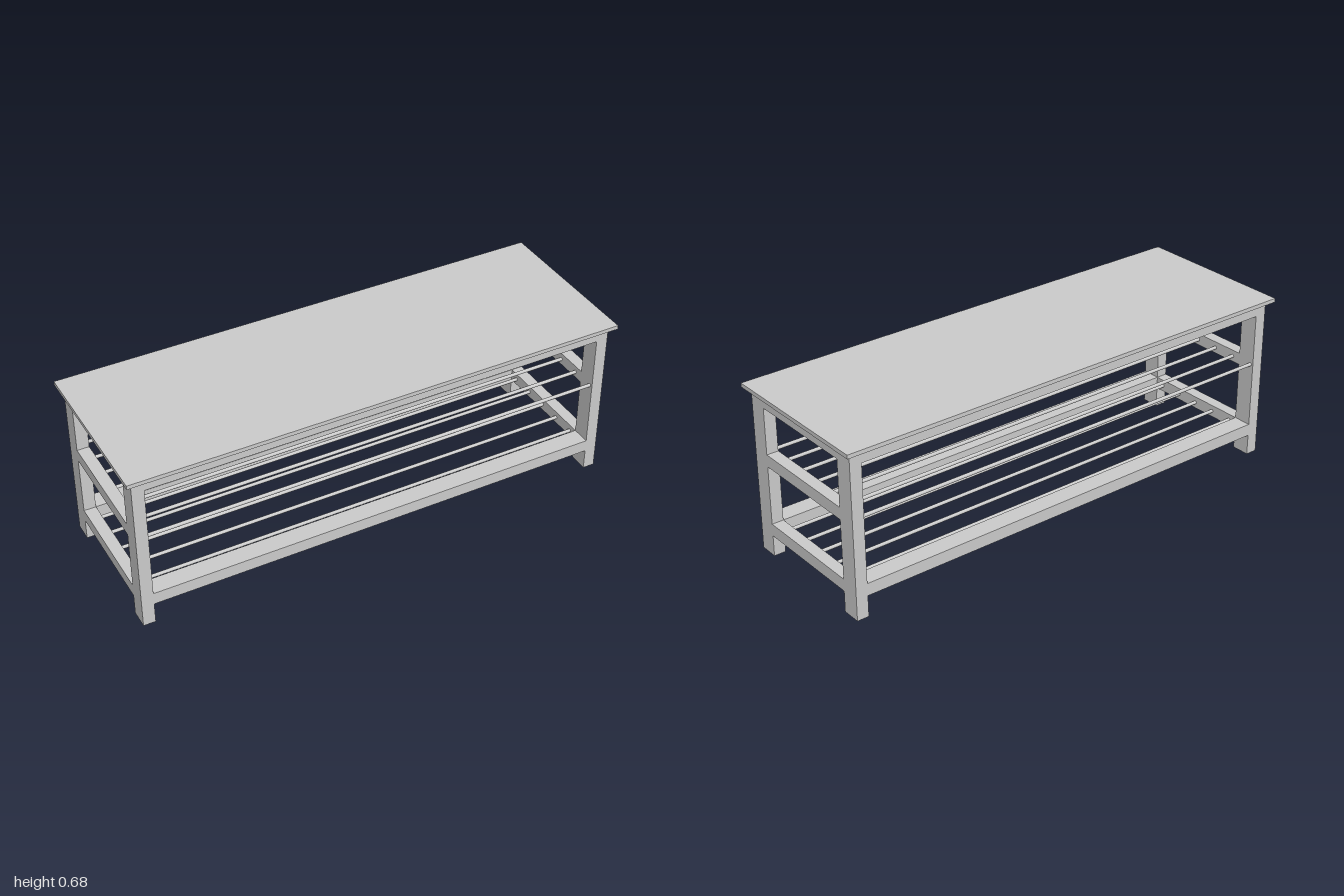
import * as THREE from 'three';

export function createModel() {
  const bench = new THREE.Group();
  bench.name = 'shoeBench';
  const material = new THREE.MeshStandardMaterial({ color: 0xcccccc });

  // Box given by its centre x and z, its width and depth, and its bottom and top heights
  const addBox = (name, x, z, width, depth, bottom, top) => {
    const mesh = new THREE.Mesh(new THREE.BoxGeometry(width, top - bottom, depth), material);
    mesh.name = name;
    mesh.position.set(x, (bottom + top) / 2, z);
    bench.add(mesh);
  };

  const legX = 0.952, legZ = 0.271, legW = 0.048, legD = 0.076;
  const spanX = 2 * legX - legW, spanZ = 2 * legZ - legD;

  // Seat
  addBox('seatTop', 0, 0, 2, 0.672, 0.664, 0.68);

  // Legs
  for (const sx of [-1, 1]) for (const sz of [-1, 1])
    addBox('leg', sx * legX, sz * legZ, legW, legD, 0, 0.664);

  // Long rails, front and back
  for (const sz of [-1, 1]) {
    addBox('longApron', 0, sz * legZ, spanX, legD, 0.613, 0.663);
    addBox('longLowerRail', 0, sz * legZ, spanX, legD, 0.086, 0.136);
  }

  // Short rails at both ends
  for (const sx of [-1, 1]) {
    addBox('endApron', sx * legX, 0, legW, spanZ, 0.613, 0.662);
    addBox('endMiddleRail', sx * legX, 0, legW, spanZ, 0.376, 0.425);
    addBox('endLowerRail', sx * legX, 0, legW, spanZ, 0.086, 0.136);
  }

  // Round rods forming the two shelves
  const rodGeometry = new THREE.CylinderGeometry(0.007, 0.007, spanX, 16).rotateZ(Math.PI / 2);
  const addRod = (name, y, z) => {
    const rod = new THREE.Mesh(rodGeometry, material);
    rod.name = name;
    rod.position.set(0, y, z);
    bench.add(rod);
  };
  for (let i = -3; i <= 3; i++) {
    const z = i * 0.098;
    addRod('upperShelfRod', 0.4, z);
    // The outer places of the lower shelf are taken by the long rails
    if (Math.abs(i) < 3) addRod('lowerShelfRod', 0.111, z);
  }

  return bench;
}
